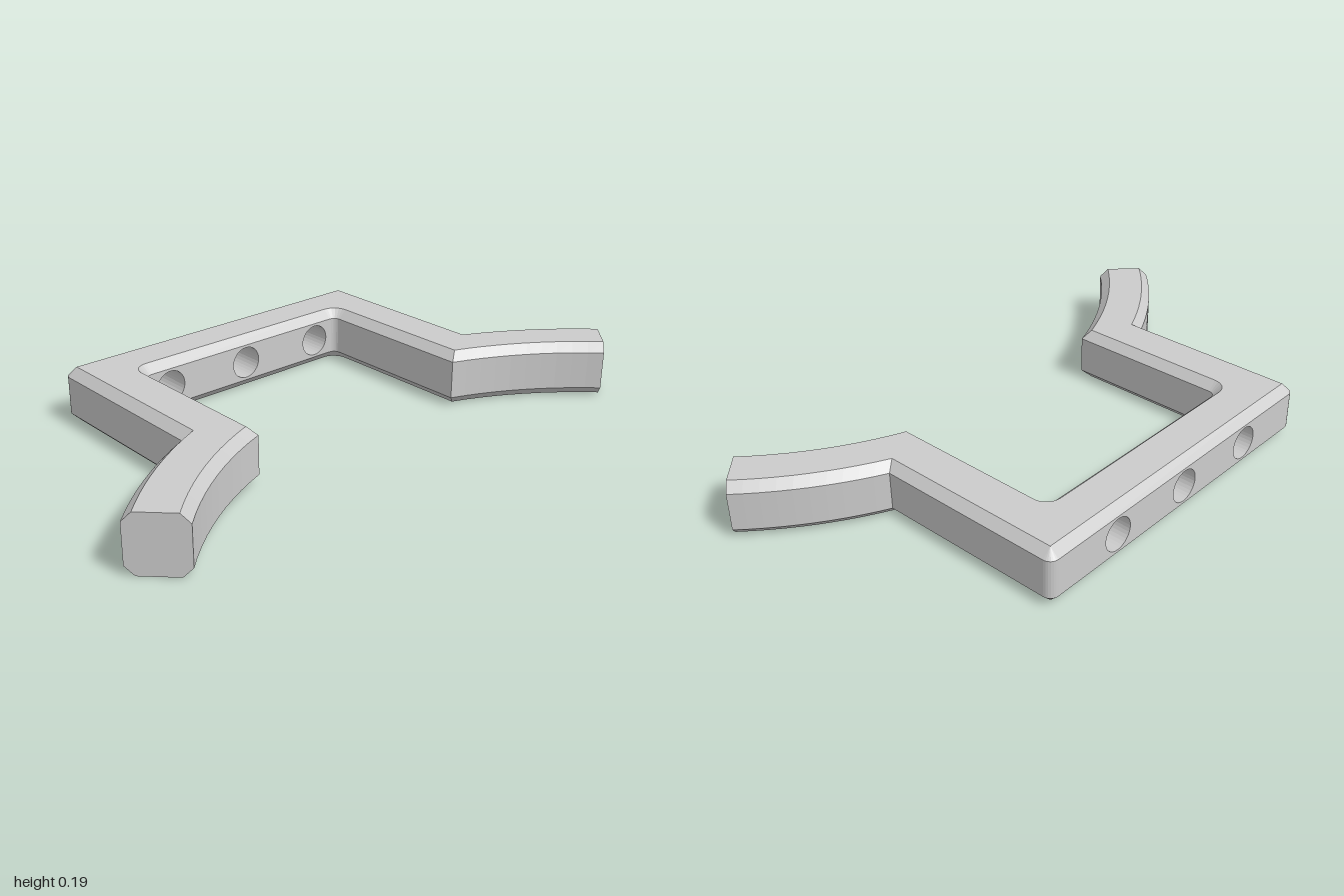
import * as THREE from 'three';

const H = 0.19, CH = 0.03;              // height and chamfer
const X_OUT = 0.61, X_IN = 0.42;        // side walls of the legs
const Z_BACK = -0.53, Z_IN = -0.345;    // walls of the back bar
const ARC_Z = 1.395, R_OUT = 1.414, R_IN = 1.23; // curved arms
const FILLET = 0.025;
const HOLES = [-0.32, 0, 0.32], HOLE_R = 0.056;

const material = new THREE.MeshStandardMaterial({ color: 0xcccccc, flatShading: true, side: THREE.DoubleSide });

// Octagonal section from plan points [x, z]: outer wall, outer top edge, inner top edge, inner wall
function section([om, ot, it, im]) {
  return [[om, CH], [om, H - CH], [ot, H], [it, H], [im, H - CH], [im, CH], [it, 0], [ot, 0]]
    .map(([p, y]) => [p[0], y, p[1]]);
}

// Skin a row of stations; skip(i, j) leaves a face out
function skin(stations, { capStart = false, capEnd = false, skip = () => false } = {}) {
  const rings = stations.map(section), pos = [];
  const tri = (...pts) => pts.forEach((p) => pos.push(...p));
  for (let i = 0; i < rings.length - 1; i++) {
    for (let j = 0; j < 8; j++) {
      if (skip(i, j)) continue;
      const k = (j + 1) % 8;
      const a = rings[i][j], b = rings[i][k], c = rings[i + 1][k], d = rings[i + 1][j];
      tri(a, c, b);
      tri(a, d, c);
    }
  }
  const first = rings[0], last = rings[rings.length - 1];
  for (let j = 1; j < 7; j++) {
    if (capStart) tri(first[0], first[j], first[j + 1]);
    if (capEnd) tri(last[0], last[j + 1], last[j]);
  }
  const g = new THREE.BufferGeometry();
  g.setAttribute('position', new THREE.Float32BufferAttribute(pos, 3));
  g.computeVertexNormals();
  return g;
}

const mirror = (stations) => stations.map((s) => s.map(([x, z]) => [-x, z])).reverse();

// Arm stations, from the 45 degree tip to the mitre with the leg
function armStations(n = 10) {
  const lines = [[R_OUT, X_OUT], [R_OUT - CH, X_OUT - CH], [R_IN + CH, X_IN + CH], [R_IN, X_IN]];
  return Array.from({ length: n + 1 }, (_, i) => lines.map(([r, x]) => {
    const a = THREE.MathUtils.lerp(Math.PI / 4, Math.asin(x / r), i / n);
    return [r * Math.sin(a), ARC_Z - r * Math.cos(a)];
  }));
}

// Rounded corner stations between leg and back bar
function cornerStations(n = 6) {
  const round = (cx, cz, r, a) => [cx + r * Math.cos(a), cz - r * Math.sin(a)];
  const ox = X_OUT - CH, oz = Z_BACK + CH, ix = X_IN - FILLET, iz = Z_IN + FILLET;
  return Array.from({ length: n + 1 }, (_, i) => {
    const a = (i / n) * Math.PI / 2;
    return [round(ox, oz, CH, a), [ox, oz], round(ix, iz, FILLET + CH, a), round(ix, iz, FILLET, a)];
  });
}

// Flat wall of the back bar, pierced by the holes
function piercedWall(halfWidth) {
  const s = new THREE.Shape();
  s.moveTo(-halfWidth, CH).lineTo(halfWidth, CH).lineTo(halfWidth, H - CH).lineTo(-halfWidth, H - CH).closePath();
  for (const x of HOLES) s.holes.push(new THREE.Path().absarc(x, H / 2, HOLE_R, 0, Math.PI * 2, true));
  return new THREE.ShapeGeometry(s, 16);
}

export function createModel() {
  const group = new THREE.Group();
  const add = (name, geometry) => {
    const mesh = new THREE.Mesh(geometry, material);
    mesh.name = name;
    group.add(mesh);
    return mesh;
  };

  // Curved arms
  const arm = armStations();
  add('leftArm', skin(arm, { capStart: true }));
  add('rightArm', skin(mirror(arm), { capEnd: true }));

  // U-shaped frame; the two bar walls are left open for the pierced ones
  const half = [arm[arm.length - 1], ...cornerStations()];
  const bar = half.length - 1;
  add('frame', skin([...half, ...mirror(half)], { skip: (i, j) => i === bar && (j === 0 || j === 4) }));

  add('barFrontWall', piercedWall(X_IN - FILLET)).position.z = Z_IN;
  const back = add('barBackWall', piercedWall(X_OUT - CH));
  back.rotation.y = Math.PI;
  back.position.z = Z_BACK;

  // Hole linings
  const depth = Z_IN - Z_BACK;
  HOLES.forEach((x, i) => {
    const lining = new THREE.CylinderGeometry(HOLE_R, HOLE_R, depth, 32, 1, true).rotateX(Math.PI / 2);
    add('holeLining' + (i + 1), lining).position.set(x, H / 2, (Z_IN + Z_BACK) / 2);
  });
  return group;
}
